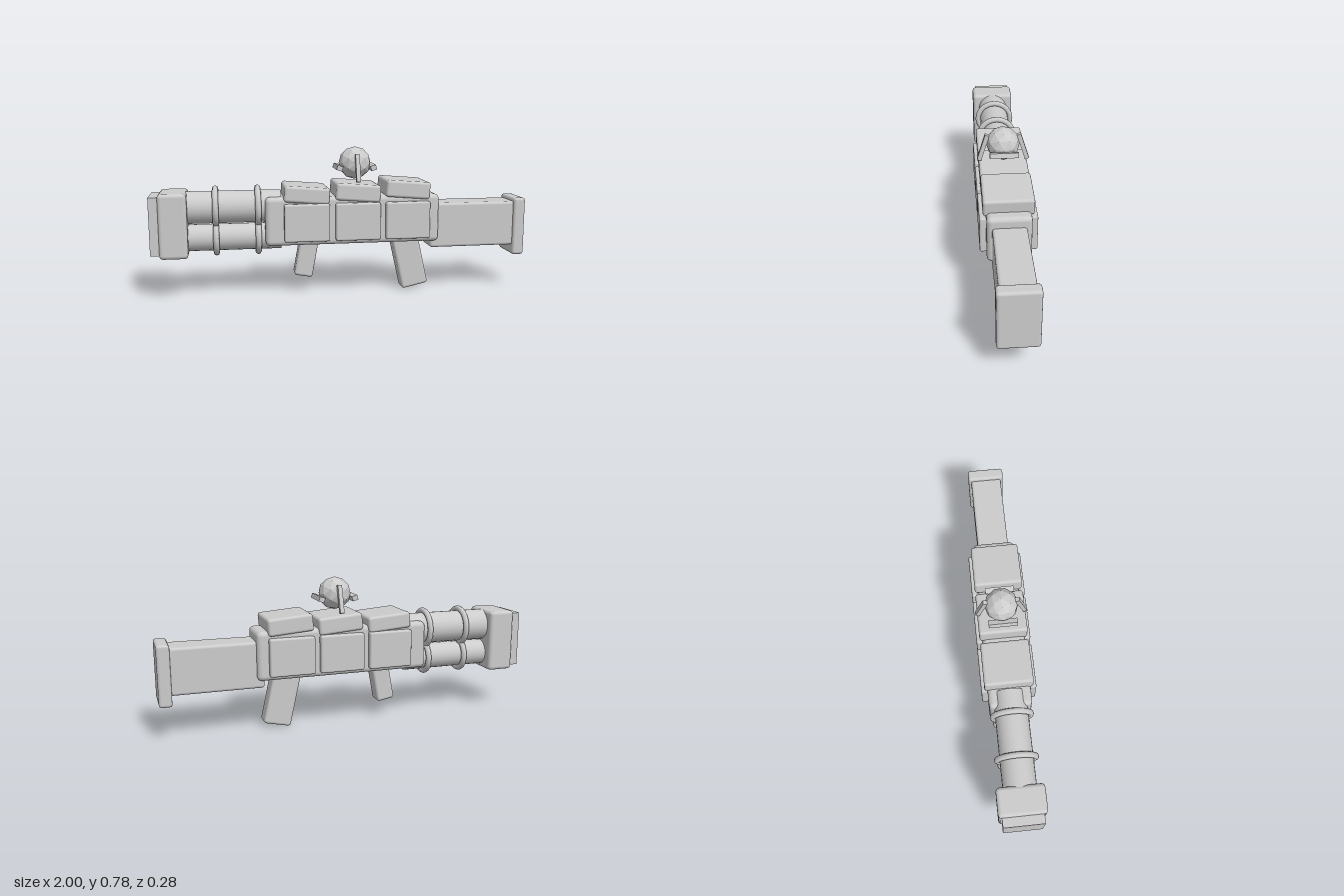
import * as THREE from 'three';
import { RoundedBoxGeometry } from 'three/addons/geometries/RoundedBoxGeometry.js';

export function createModel() {
  const model = new THREE.Group();
  model.name = 'launcher';
  const grey = new THREE.MeshStandardMaterial({ color: 0xcccccc });
  grey.name = 'grey';

  const add = (name, geometry, x, y, z = 0) => {
    const mesh = new THREE.Mesh(geometry, grey);
    mesh.name = name;
    mesh.position.set(x, y, z);
    model.add(mesh);
    return mesh;
  };
  // Rounded block given by its limits along x and y and its centred depth
  const block = (name, x0, x1, y0, y1, depth, r = 0.015, z = 0) =>
    add(name, new RoundedBoxGeometry(x1 - x0, y1 - y0, depth, 2, r), (x0 + x1) / 2, (y0 + y1) / 2, z);

  // Muzzle, receiver and stock
  add('muzzlePlate', new THREE.BoxGeometry(0.07, 0.3, 0.204), -0.965, 0.4);
  block('muzzleBlock', -0.955, -0.81, 0.23, 0.567, 0.24, 0.02);
  block('receiver', -0.415, 0.51, 0.28, 0.535, 0.22, 0.025);
  block('stock', 0.47, 0.96, 0.24, 0.482, 0.168, 0.015);
  block('buttPlate', 0.935, 1.0, 0.187, 0.502, 0.198, 0.015);

  // Two stacked barrels with clamp rings
  for (const [name, y, r] of [['upper', 0.48, 0.085], ['lower', 0.32, 0.07]]) {
    const barrel = new THREE.CylinderGeometry(r, r, 0.54, 24).rotateZ(Math.PI / 2);
    add(name + 'Barrel', barrel, -0.6, y);
    for (const x of [-0.668, -0.45]) {
      const ring = new THREE.TorusGeometry(r + 0.012, 0.016, 8, 28).rotateY(Math.PI / 2);
      add(name + 'Ring', ring, x, y);
    }
  }

  // Side plates on both flanks
  for (const x of [-0.32, -0.052, 0.215]) {
    for (const s of [1, -1]) block('sidePlate', x, x + 0.237, 0.305, 0.502, 0.04, 0.01, s * 0.122);
  }

  // Tilted blocks along the top
  for (const [x, y, h] of [[-0.2, 0.546, 0.085], [0.07, 0.553, 0.09], [0.337, 0.564, 0.09]]) {
    add('topBlock', new RoundedBoxGeometry(0.237, h, 0.25, 2, 0.015), x, y).rotation.z = -0.08;
  }

  // Grips
  add('foreGrip', new RoundedBoxGeometry(0.098, 0.22, 0.09, 2, 0.015), -0.196, 0.206).rotation.z = -0.18;
  add('rearGrip', new RoundedBoxGeometry(0.146, 0.3, 0.096, 2, 0.015), 0.368, 0.167).rotation.z = 0.22;

  // Faceted sight ball
  const ball = new THREE.IcosahedronGeometry(0.086, 1);
  ball.computeVertexNormals();
  add('sightBall', ball, 0.068, 0.7);

  // Upright struts front and back, level bars left and right
  for (const s of [1, -1]) {
    add('sightStrut', new THREE.BoxGeometry(0.022, 0.146, 0.022), 0.068, 0.68, s * 0.102).rotation.x = -0.3 * s;
    add('sightBar', new THREE.BoxGeometry(0.03, 0.026, 0.146), 0.068 + s * 0.09, 0.678).rotation.z = 0.3 * s;
  }
  return model;
}
